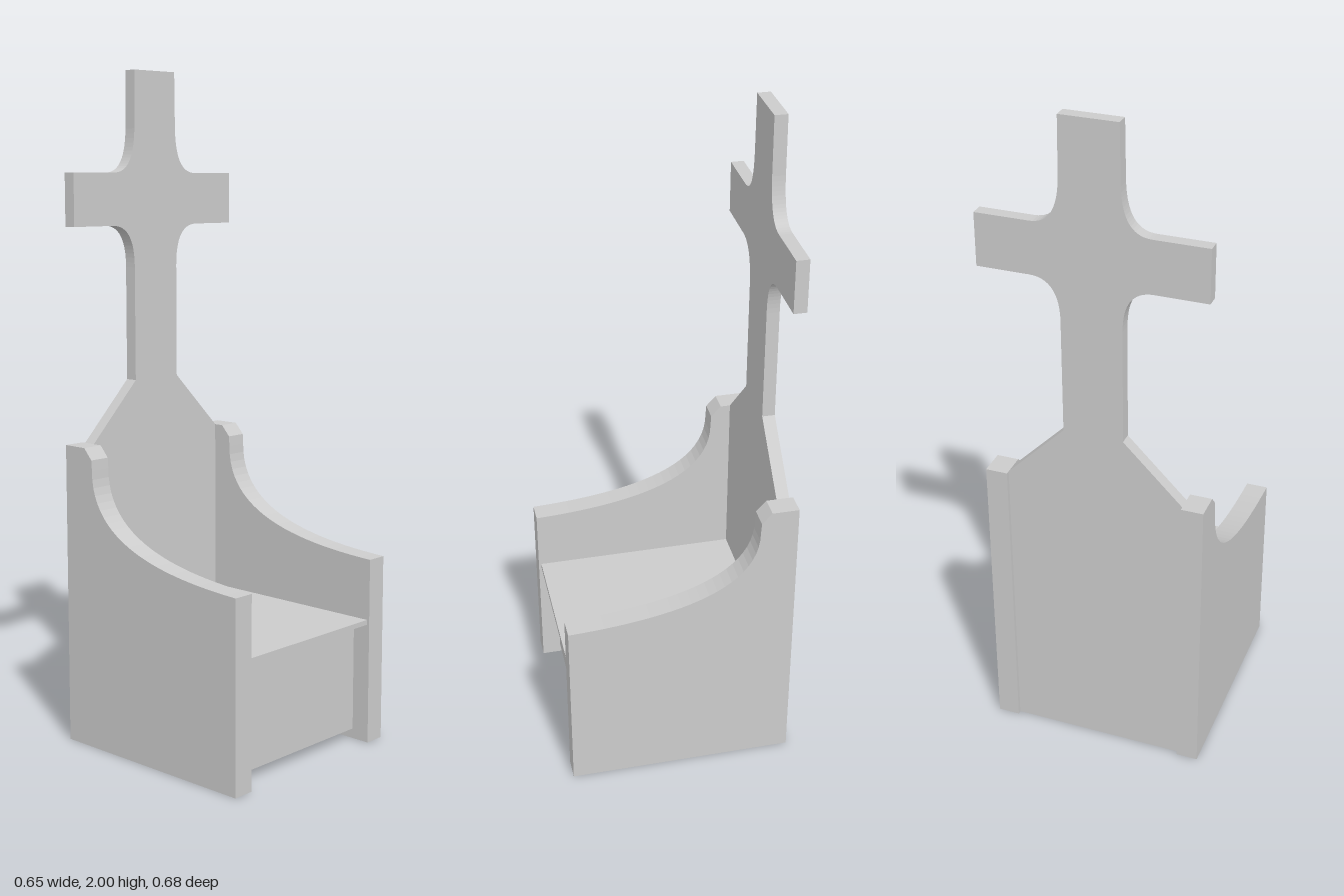
import * as THREE from 'three';

const material = new THREE.MeshStandardMaterial({ color: 0xcccccc });

export function createModel() {
  const group = new THREE.Group();
  const add = (name, geometry, x = 0, y = 0, z = 0) => {
    const mesh = new THREE.Mesh(geometry, material);
    mesh.name = name;
    mesh.position.set(x, y, z);
    group.add(mesh);
  };
  const inner = 0.262, outer = 0.327;

  // Side walls: profile drawn in (z, y), swept armrest curve, extruded across x
  const side = new THREE.Shape();
  side.moveTo(-0.34, 0);
  side.lineTo(0.34, 0);
  side.lineTo(0.34, 0.565);
  side.bezierCurveTo(0.05, 0.575, -0.23, 0.63, -0.228, 0.84);
  side.lineTo(-0.23, 0.872);
  side.lineTo(-0.26, 0.905);
  side.lineTo(-0.34, 0.905);
  side.closePath();
  const sideGeometry = new THREE.ExtrudeGeometry(side, { depth: outer - inner, bevelEnabled: false, curveSegments: 24 });
  sideGeometry.rotateY(-Math.PI / 2); // z of the profile becomes +z, depth runs to -x
  add('leftSide', sideGeometry, outer);
  add('rightSide', sideGeometry, -inner);

  // Tall back panel with sloping shoulders, neck and filleted cross
  const back = new THREE.Shape();
  back.moveTo(-inner, 0);
  back.lineTo(inner, 0);
  back.lineTo(inner, 0.905);
  back.lineTo(0.088, 1.08);
  back.lineTo(0.088, 1.42);
  back.bezierCurveTo(0.088, 1.5, 0.115, 1.545, 0.175, 1.545);
  back.lineTo(outer, 1.545);
  back.lineTo(outer, 1.7);
  back.lineTo(0.17, 1.7);
  back.bezierCurveTo(0.11, 1.7, 0.088, 1.75, 0.085, 1.83);
  back.lineTo(0.083, 2);
  back.lineTo(-0.083, 2);
  back.lineTo(-0.085, 1.83);
  back.bezierCurveTo(-0.088, 1.75, -0.11, 1.7, -0.17, 1.7);
  back.lineTo(-outer, 1.7);
  back.lineTo(-outer, 1.545);
  back.lineTo(-0.175, 1.545);
  back.bezierCurveTo(-0.115, 1.545, -0.088, 1.5, -0.088, 1.42);
  back.lineTo(-0.088, 1.08);
  back.lineTo(-inner, 0.905);
  back.closePath();
  add('backPanel', new THREE.ExtrudeGeometry(back, { depth: 0.038, bevelEnabled: false, curveSegments: 16 }), 0, 0, -0.328);

  // Thin seat board and recessed front panel
  add('seat', new THREE.BoxGeometry(inner * 2, 0.015, 0.622), 0, 0.3725, 0.021);
  add('frontPanel', new THREE.BoxGeometry(inner * 2, 0.335, 0.045), 0, 0.1975, 0.26);

  return group;
}
